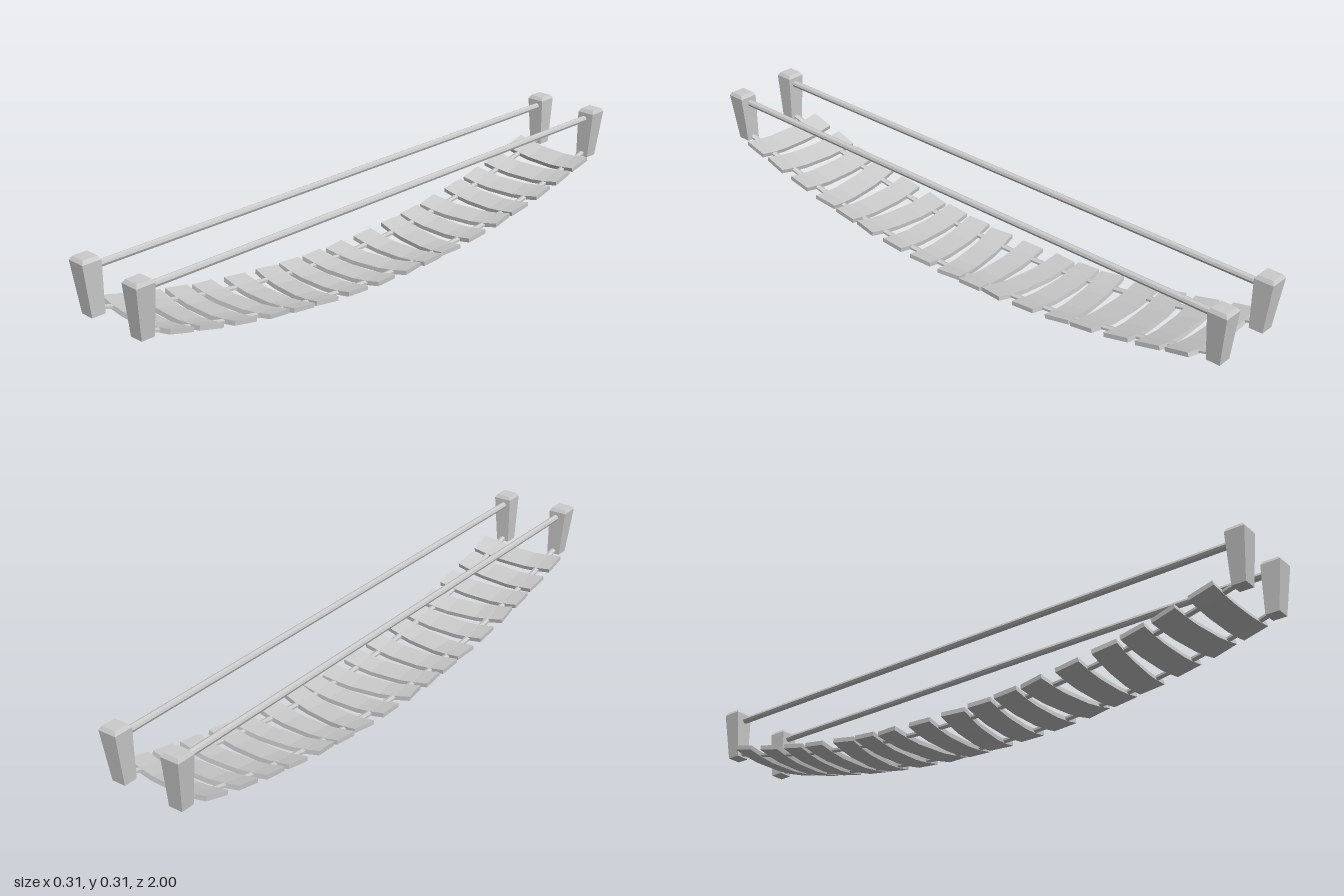
import * as THREE from 'three';

const material = new THREE.MeshStandardMaterial({ color: 0xcccccc, flatShading: true, side: THREE.DoubleSide });

// Height of the sagging walkway's upper surface
const SAG = 0.154;
const deckY = z => 0.016 + SAG * z * z;

// Upward bend of a plank towards its ends
function bow(x) {
  const a = Math.abs(x);
  if (a <= 0.05) return 0;
  return a <= 0.1 ? (a - 0.05) * 0.12 : 0.006 + (a - 0.1) * 0.2;
}

// Moves every vertex of a geometry by a rule
function reshape(geometry, rule) {
  const p = geometry.attributes.position;
  const v = new THREE.Vector3();
  for (let i = 0; i < p.count; i++) {
    v.fromBufferAttribute(p, i);
    rule(v);
    p.setXYZ(i, v.x, v.y, v.z);
  }
  geometry.computeVertexNormals();
  return geometry;
}

function addPart(group, name, geometry) {
  const mesh = new THREE.Mesh(geometry, material);
  mesh.name = name;
  group.add(mesh);
  return mesh;
}

// Curved plank with bends at x = 0.05 and 0.1
function plankGeometry(width) {
  const stations = [-0.15, -0.1, -0.05, 0, 0.05, 0.1, 0.15];
  return reshape(new THREE.BoxGeometry(6, 0.014, width, 6, 1, 1), v => {
    v.x = stations[Math.round(v.x) + 3];
    v.y += bow(v.x) - 0.007;
  });
}

// Post widening upwards on its two outer sides, with a bevelled cap
function postGeometry(sx, sz) {
  const levels = [
    { y: 0.14, x: [0.078, 0.123], z: [0.94, 0.983] },
    { y: 0.297, x: [0.078, 0.138], z: [0.939, 1.0] },
    { y: 0.308, x: [0.085, 0.132], z: [0.946, 0.993] },
  ];
  return reshape(new THREE.BoxGeometry(1, 2, 1, 1, 2, 1), v => {
    const level = levels[Math.round(v.y) + 1];
    v.x = sx * level.x[v.x * sx > 0 ? 1 : 0];
    v.z = sz * level.z[v.z * sz > 0 ? 1 : 0];
    v.y = level.y;
  });
}

export function createModel() {
  const model = new THREE.Group();
  model.name = 'ropeBridge';

  // Planks, each slightly skewed and pitched to follow the sag
  const skews = [0.06, -0.04, -0.06, 0.03, -0.11, 0.02, 0.14, -0.02, -0.16,
    -0.09, 0, 0.11, 0, -0.11, 0, 0.07, 0];
  skews.forEach((skew, i) => {
    const z = -0.875 + i * 0.1088;
    const plank = addPart(model, 'plank', plankGeometry(0.08));
    plank.position.set(-0.001, deckY(z), z);
    plank.rotation.order = 'XYZ';
    plank.rotation.set(-Math.atan(2 * SAG * z), -skew, 0);
  });

  for (const sx of [1, -1]) {
    const side = sx > 0 ? 'left' : 'right';

    // Straight handrail
    const rail = new THREE.CylinderGeometry(0.011, 0.011, 1.9, 8).rotateX(Math.PI / 2);
    addPart(model, side + 'Handrail', rail).position.set(sx * 0.102, 0.275, 0);

    // Flattened rope threaded through the planks
    const rope = new THREE.CylinderGeometry(1, 1, 1.91, 6, 34).rotateX(Math.PI / 2);
    reshape(rope, v => {
      v.x = sx * 0.1 + v.x * 0.011;
      v.y = v.y * 0.007 + deckY(v.z) - 0.001;
    });
    addPart(model, side + 'Rope', rope);

    // End posts
    for (const sz of [1, -1]) {
      const post = addPart(model, side + (sz > 0 ? 'Front' : 'Back') + 'Post', postGeometry(sx, sz));
      if (sx > 0 && sz > 0) post.position.z = -0.008;
    }
  }
  return model;
}
